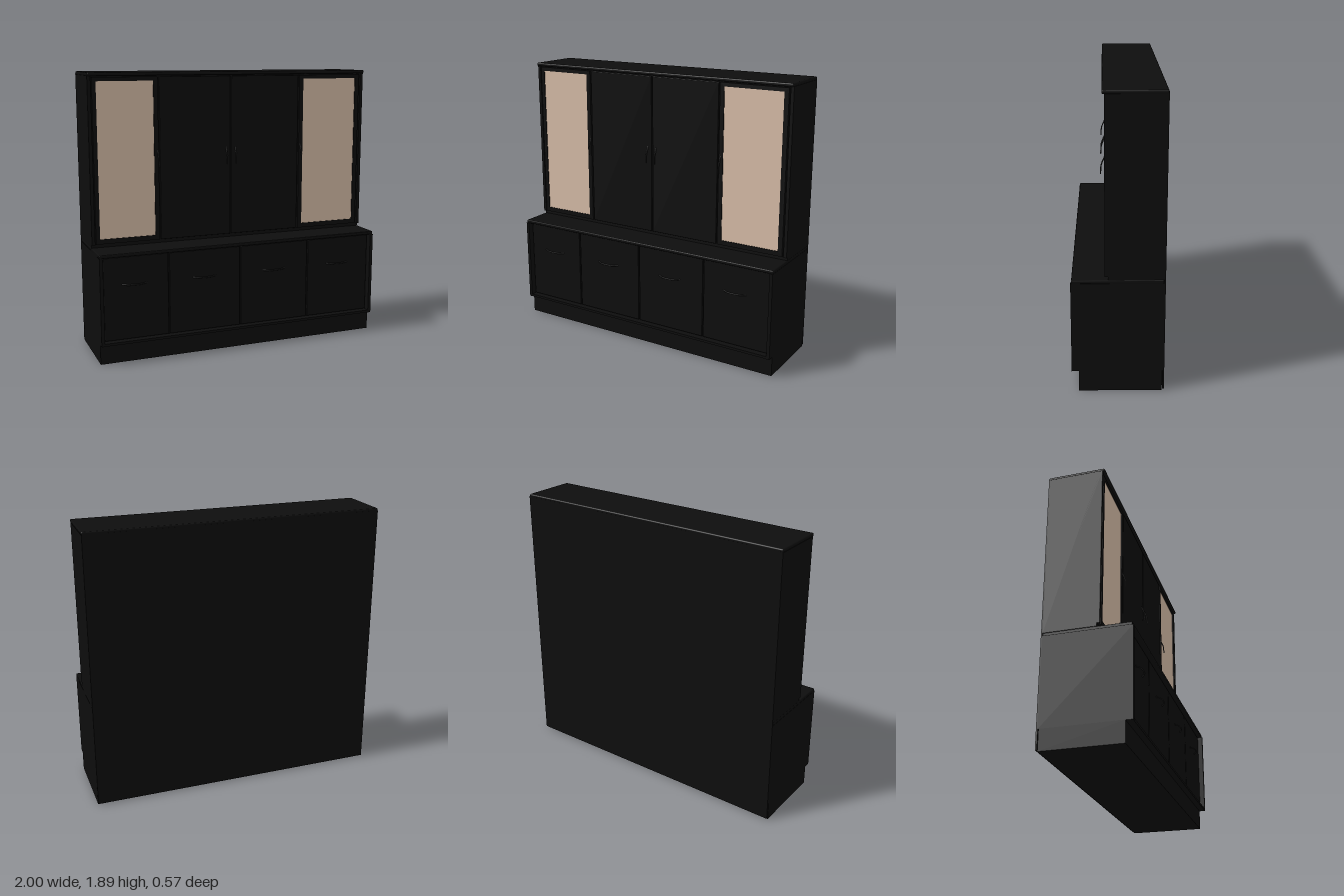
import * as THREE from 'three';
import { RoundedBoxGeometry } from 'three/addons/geometries/RoundedBoxGeometry.js';

const wood = new THREE.MeshStandardMaterial({ color: 0x0d0d0d });
const metal = new THREE.MeshStandardMaterial({ color: 0x242424 });
const glass = new THREE.MeshStandardMaterial({ color: 0xd6bca7 });

export function createModel() {
  const model = new THREE.Group();

  const add = (name, geometry, material = wood, parent = model) => {
    const mesh = new THREE.Mesh(geometry, material);
    mesh.name = name;
    parent.add(mesh);
    return mesh;
  };

  // Box given by its limits, with optionally rounded edges
  const box = (name, [x0, x1], [y0, y1], [z0, z1], radius = 0, material = wood, parent = model) => {
    const size = [x1 - x0, y1 - y0, z1 - z0];
    const geometry = radius ? new RoundedBoxGeometry(...size, 2, radius) : new THREE.BoxGeometry(...size);
    const mesh = add(name, geometry, material, parent);
    mesh.position.set((x0 + x1) / 2, (y0 + y1) / 2, (z0 + z1) / 2);
    return mesh;
  };

  const rod = (name, points, radius) => {
    const path = new THREE.CatmullRomCurve3(points.map(p => new THREE.Vector3(...p)));
    return add(name, new THREE.TubeGeometry(path, 16, radius, 8), metal);
  };

  const full = [-1, 1];
  const seams = [-0.53, -0.02, 0.49];
  const edges = [-0.975, ...seams, 0.975];

  // Back panel and plinth
  box('backPanel', full, [0.01, 1.87], [-0.285, -0.275]);
  box('plinth', full, [0, 0.137], [-0.27, 0.243]);

  // Lower cabinet, with sides and rails standing proud of the doors
  box('lowerCarcass', [-0.99, 0.99], [0.137, 0.72], [-0.275, 0.235]);
  for (const s of [-1, 1]) {
    box('lowerSide', s < 0 ? [-1, -0.978] : [0.978, 1], [0.135, 0.722], [-0.275, 0.287]);
  }
  box('bottomRail', [-0.978, 0.978], [0.135, 0.152], [0.2, 0.285]);
  box('countertop', full, [0.72, 0.743], [-0.275, 0.282], 0.006);

  // Lower doors with bowed pulls
  for (let i = 0; i < 4; i++) {
    const x0 = edges[i] + 0.004, x1 = edges[i + 1] - 0.004;
    box('lowerDoor', [x0, x1], [0.158, 0.714], [0.235, 0.255], 0.004);
    const c = [-0.765, -0.28, 0.23, 0.725][i];
    rod('lowerHandle', [
      [c - 0.082, 0.53, 0.254], [c - 0.045, 0.53, 0.277], [c, 0.53, 0.283],
      [c + 0.045, 0.53, 0.277], [c + 0.082, 0.53, 0.254],
    ], 0.005);
  }

  // Upper cabinet and cornice
  box('upperCarcass', full, [0.743, 1.866], [-0.275, 0.062]);
  for (const s of [-1, 1]) {
    box('upperSide', s < 0 ? [-1, -0.978] : [0.978, 1], [0.765, 1.866], [-0.27, 0.081]);
  }
  box('cornice', full, [1.864, 1.886], [-0.285, 0.095], 0.008);

  // Solid centre doors
  for (const i of [1, 2]) {
    box('centreDoor', [edges[i] + 0.004, edges[i + 1] - 0.004], [0.768, 1.856], [0.062, 0.081], 0.004);
  }

  // Framed glass doors: outer limits and pane limits
  for (const [x0, x1, g0, g1] of [[-0.972, -0.535, -0.945, -0.565], [0.495, 0.968, 0.525, 0.937]]) {
    const door = new THREE.Group();
    door.name = 'glassDoor';
    model.add(door);
    const shape = new THREE.Shape();
    shape.moveTo(x0, 0.768).lineTo(x1, 0.768).lineTo(x1, 1.856).lineTo(x0, 1.856).closePath();
    const hole = new THREE.Path();
    hole.moveTo(g0, 0.8).lineTo(g0, 1.83).lineTo(g1, 1.83).lineTo(g1, 0.8).closePath();
    shape.holes.push(hole);
    const frame = add('doorFrame', new THREE.ExtrudeGeometry(shape, { depth: 0.019, bevelEnabled: false }), wood, door);
    frame.position.z = 0.062;
    box('glassPane', [g0, g1], [0.8, 1.83], [0.064, 0.076], 0, glass, door);
  }

  // Upright pulls, curving outwards towards the lower end
  for (const x of [-0.54, -0.055, 0.013, 0.507]) {
    rod('upperHandle', [
      [x, 1.375, 0.078], [x, 1.35, 0.089], [x, 1.32, 0.1], [x, 1.29, 0.103], [x, 1.262, 0.104],
    ], 0.004);
  }

  return model;
}
